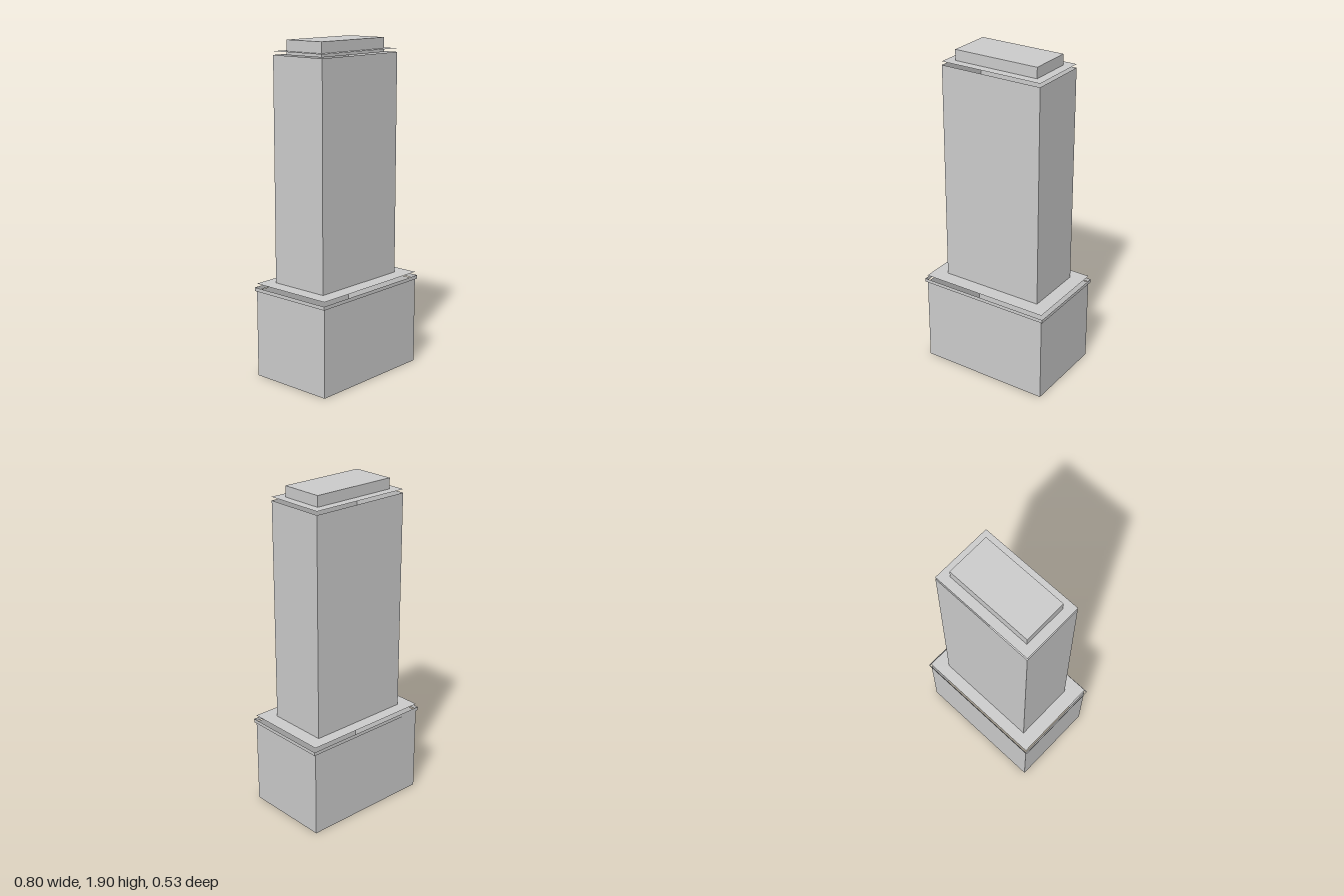
import * as THREE from 'three';

// Thin shell surfaces, seen from both sides
const concrete = new THREE.MeshStandardMaterial({ color: 0xcccccc, side: THREE.DoubleSide });
concrete.name = 'concrete';

// Four upright walls around a rectangle, open at top and bottom
function walls(name, w, d, y0, y1, z = 0) {
  const group = new THREE.Group();
  group.name = name;
  for (let i = 0; i < 4; i++) {
    const alongX = i % 2 === 0;
    const wall = new THREE.Mesh(new THREE.PlaneGeometry(alongX ? w : d, y1 - y0), concrete);
    const angle = i * Math.PI / 2;
    const out = (alongX ? d : w) / 2;
    wall.name = name + 'Wall';
    wall.rotation.y = angle;
    wall.position.set(Math.sin(angle) * out, (y0 + y1) / 2, z + Math.cos(angle) * out);
    group.add(wall);
  }
  return group;
}

// Flat horizontal sheet
function roof(name, w, d, y, z = 0) {
  const mesh = new THREE.Mesh(new THREE.PlaneGeometry(w, d), concrete);
  mesh.name = name;
  mesh.rotation.x = -Math.PI / 2;
  mesh.position.set(0, y, z);
  return mesh;
}

export function createModel() {
  const model = new THREE.Group();
  model.name = 'officeTower';

  // Podium, open underneath, with a cornice band and a raised roof sheet
  model.add(walls('podium', 0.78, 0.513, 0, 0.503, -0.001));
  model.add(walls('podiumCornice', 0.802, 0.526, 0.503, 0.524));
  model.add(roof('podiumRoof', 0.78, 0.513, 0.545, -0.001));

  // Tower shaft with its roof sheet raised above the walls
  model.add(walls('towerShaft', 0.614, 0.358, 0.535, 1.816, -0.01));
  model.add(roof('towerRoof', 0.614, 0.358, 1.836, -0.01));

  // Rooftop plant room
  model.add(walls('plantRoom', 0.512, 0.254, 1.816, 1.897, -0.01));
  model.add(roof('plantRoomRoof', 0.512, 0.254, 1.897, -0.01));

  return model;
}
